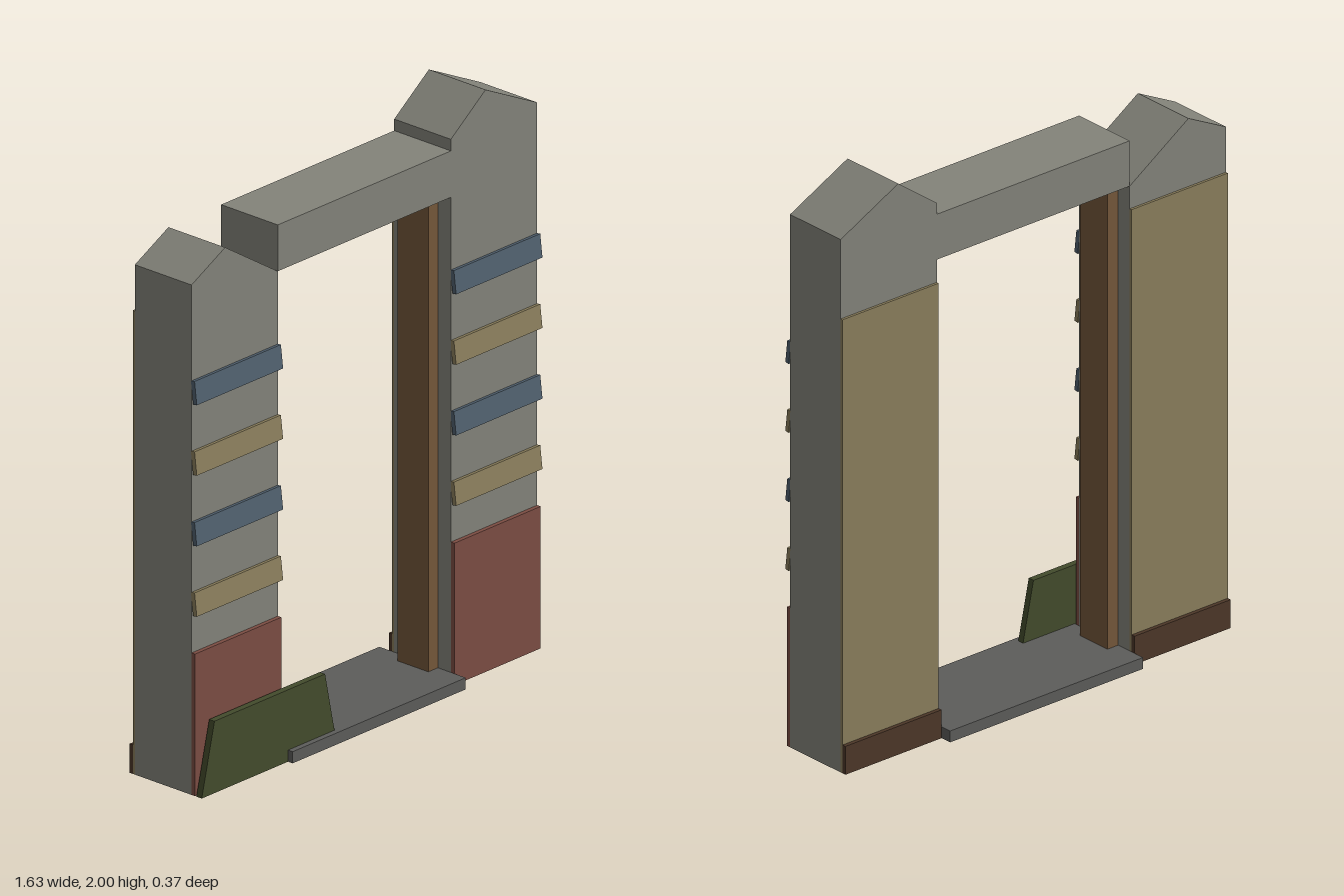
import * as THREE from 'three';

const mat = (name, color) => {
  const m = new THREE.MeshStandardMaterial({ color });
  m.name = name;
  return m;
};

export function createModel() {
  const group = new THREE.Group();
  const stone = mat('grey plaster', 0x83837a);
  const slab = mat('dark concrete', 0x5c5c5a);
  const brick = mat('brick red', 0x7c4d43);
  const blue = mat('faded blue', 0x50606e);
  const tan = mat('faded tan', 0x8a7e5c);
  const wood = mat('frame wood', 0x74573a);
  const darkWood = mat('dark wood', 0x4c3728);
  const green = mat('tarp green', 0x434b2c);

  const add = (name, geo, material) => {
    const mesh = new THREE.Mesh(geo, material);
    mesh.name = name;
    group.add(mesh);
  };
  // Box given by its limits on each axis
  const box = (name, material, x0, x1, y0, y1, z0, z1) => {
    const geo = new THREE.BoxGeometry(x1 - x0, y1 - y0, z1 - z0);
    geo.translate((x0 + x1) / 2, (y0 + y1) / 2, (z0 + z1) / 2);
    add(name, geo, material);
  };
  // Front outline extruded from z0 to z1
  const plate = (name, material, points, z0, z1) => {
    const shape = new THREE.Shape(points.map(([x, y]) => new THREE.Vector2(x, y)));
    const geo = new THREE.ExtrudeGeometry(shape, { depth: z1 - z0, bevelEnabled: false });
    geo.translate(0, 0, z0);
    add(name, geo, material);
  };

  const inner = 0.407, outer = 0.813, wall = 0.122;

  // Broken wall piers with peaked tops
  plate('rightPier', stone, [[-outer, 0], [-inner, 0], [-inner, 1.68], [-0.655, 1.84], [-outer, 1.76]], -wall, wall);
  plate('leftPier', stone, [[inner, 0], [outer, 0], [outer, 1.88], [0.57, 2], [inner, 1.88]], -wall, wall);

  // Lintel and threshold
  box('lintel', stone, -inner, inner, 1.68, 1.84, -wall, wall);
  box('threshold', slab, -inner, inner, 0, 0.04, -0.186, 0.186);

  for (const side of [-1, 1]) {
    const label = side > 0 ? 'left' : 'right';
    const x0 = side > 0 ? inner : -outer;
    const x1 = side > 0 ? outer : -inner;

    // Door jamb
    const jx = side * (inner - 0.0225);
    box(label + 'Jamb', wood, jx - 0.0225, jx + 0.0225, 0.04, 1.68, -0.066, 0.066);

    // Brick base on the front, inner lining and skirting on the back
    box(label + 'BrickBase', brick, x0, x1, 0, 0.49, wall, 0.137);
    box(label + 'BackLining', tan, x0, x1, 0, 1.6, -0.131, -wall);
    box(label + 'Skirting', darkWood, x0, x1, 0, 0.1, -0.145, -0.131);

    // Tilted siding boards
    [0.62, 0.863, 1.107, 1.35].forEach((y, i) => {
      const geo = new THREE.BoxGeometry(x1 - x0, 0.08, 0.016);
      geo.rotateX(-0.12);
      geo.translate((x0 + x1) / 2, y + 0.04, 0.132);
      add(label + 'Siding' + (i + 1), geo, i % 2 ? blue : tan);
    });
  }

  // Slope-sided green sheet leaning low at the front
  plate('greenSheet', green, [[-outer, 0], [-0.18, 0], [-0.233, 0.248], [-0.753, 0.248]], 0.143, 0.166);

  return group;
}
